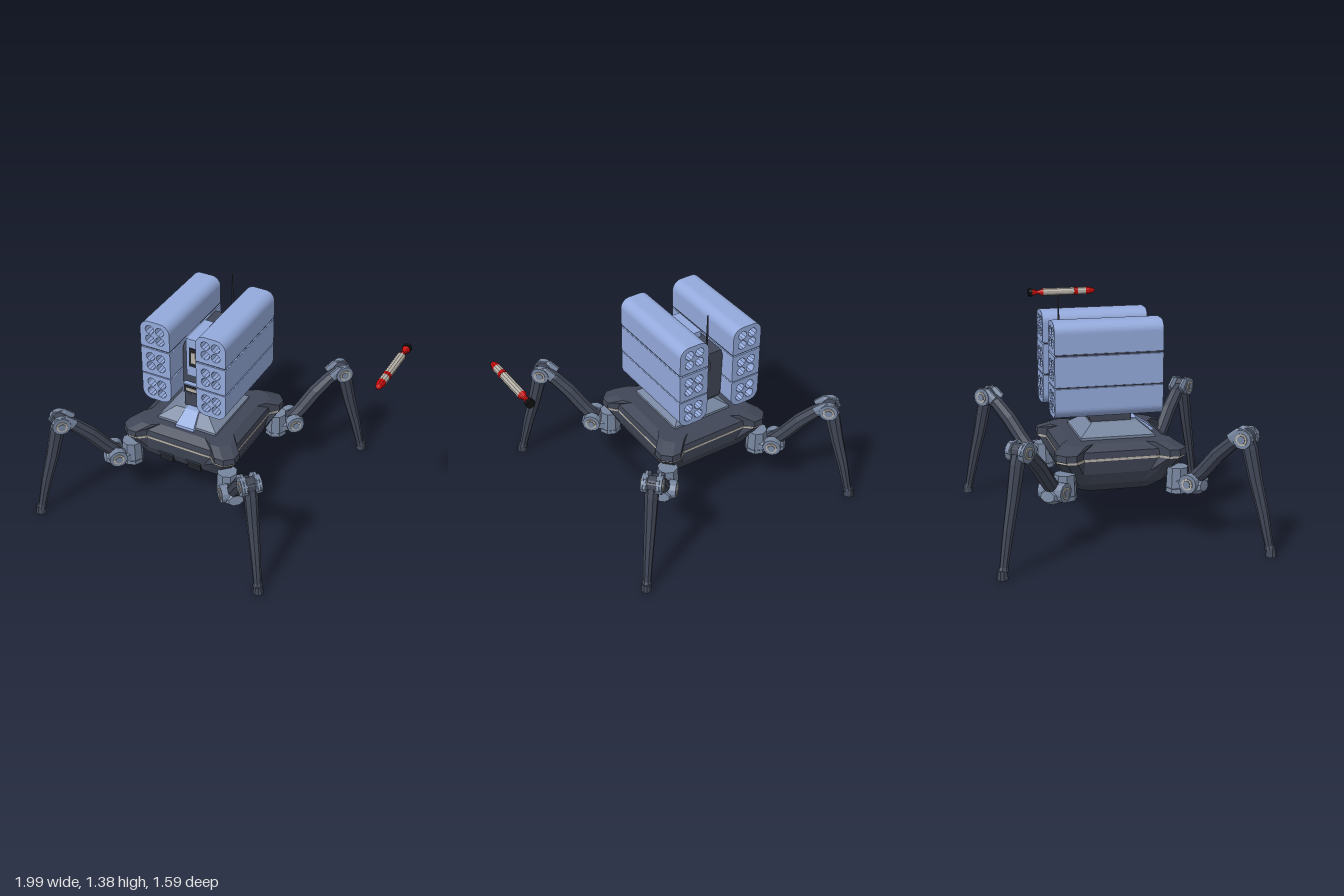
import * as THREE from 'three';

const mat = (color) => new THREE.MeshStandardMaterial({ color, flatShading: true });
const BLUE = mat(0x94aadc), STEEL = mat(0x77869f), DARK = mat(0x404656), SHADOW = mat(0x20232c);
const CREAM = mat(0xb8b3aa), RED = mat(0xc80d0d), BLACK = mat(0x111111);

function add(parent, name, geometry, material, x = 0, y = 0, z = 0) {
  const mesh = new THREE.Mesh(geometry, material);
  mesh.name = name;
  mesh.position.set(x, y, z);
  parent.add(mesh);
  return mesh;
}
const box = (w, h, d) => new THREE.BoxGeometry(w, h, d);

// Skin a list of equal rings (counter-clockwise seen from the far end) and cap both ends
function loft(rings) {
  const n = rings[0].length, pos = [], idx = [];
  rings.flat().forEach((p) => pos.push(p.x, p.y, p.z));
  for (let i = 0; i < rings.length - 1; i++) {
    for (let j = 0; j < n; j++) {
      const a = i * n + j, b = i * n + (j + 1) % n;
      idx.push(a, b, b + n, a, b + n, a + n);
    }
  }
  [0, rings.length - 1].forEach((i) => {
    const c = new THREE.Vector3();
    rings[i].forEach((p) => c.addScaledVector(p, 1 / n));
    const k = pos.length / 3;
    pos.push(c.x, c.y, c.z);
    for (let j = 0; j < n; j++) {
      const a = i * n + j, b = i * n + (j + 1) % n;
      idx.push(k, ...(i ? [a, b] : [b, a]));
    }
  });
  const g = new THREE.BufferGeometry();
  g.setAttribute('position', new THREE.Float32BufferAttribute(pos, 3));
  g.setIndex(idx);
  g.computeVertexNormals();
  return g;
}

// Square hull outline of half width a, with corner pads reaching out to b
function hullRing([y, a, b]) {
  const q = b - 0.16, m = b - 0.11, e = b - 0.05;
  const quarter = [[a, q], [b, m], [b, e], [e, b], [m, b], [q, a]];
  const ring = [];
  for (let k = 0; k < 4; k++) {
    quarter.forEach(([u, v]) => {
      const [x, w] = [[u, v], [-v, u], [-u, -v], [v, -u]][k];
      ring.push(new THREE.Vector3(x, y, -w));
    });
  }
  return ring;
}

// Rectangular ring: y, half width, back z, front z
const rectRing = ([y, w, back, front]) =>
  [[w, front], [w, back], [-w, back], [-w, front]].map(([x, z]) => new THREE.Vector3(x, y, z));

// Eight-sided limb along points [radius, y, half thickness, half width]
function limb(points) {
  return loft(points.map(([x, y, h, w], i) => {
    const p = points[Math.max(i - 1, 0)], q = points[Math.min(i + 1, points.length - 1)];
    const d = new THREE.Vector2(q[0] - p[0], q[1] - p[1]).normalize();
    return Array.from({ length: 8 }, (_, j) => {
      const t = (j + 0.5) * Math.PI / 4, c = Math.cos(t) * h * 1.08, s = Math.sin(t) * w * 1.08;
      return new THREE.Vector3(x - d.y * c, y + d.x * c, s);
    });
  }));
}

// Pivot with cheeks, ring and hub cap, its axis along z
function joint(parent, name, x, y, r, half) {
  const g = new THREE.Group();
  g.name = name;
  g.position.set(x, y, 0);
  const drum = (n, rad, len, material, z = 0) =>
    add(g, n, new THREE.CylinderGeometry(rad, rad, len, 12), material, 0, 0, z).rotateX(Math.PI / 2);
  drum('pivot', r * 0.85, half * 2 - 0.01, DARK);
  [-1, 1].forEach((s) => {
    drum('cheek', r, half * 0.6, STEEL, s * half * 0.7);
    drum('hubRing', r * 0.62, 0.008, CREAM, s * (half + 0.002));
    drum('hubCap', r * 0.42, 0.014, STEEL, s * (half + 0.003));
  });
  parent.add(g);
}

// Leg pointing along +x
function makeLeg() {
  const leg = new THREE.Group();
  leg.name = 'leg';
  add(leg, 'hipSwivel', new THREE.CylinderGeometry(0.062, 0.07, 0.15, 8), STEEL, 0.47, 0.355, 0);
  add(leg, 'hipFoot', new THREE.CylinderGeometry(0.07, 0.05, 0.03, 8), STEEL, 0.47, 0.293, 0);
  add(leg, 'hipLink', limb([[0.46, 0.335, 0.045, 0.055], [0.56, 0.335, 0.05, 0.065],
    [0.62, 0.335, 0.045, 0.055], [0.645, 0.34, 0.03, 0.045]]), STEEL);
  joint(leg, 'hipJoint', 0.575, 0.355, 0.056, 0.078);
  add(leg, 'upperLeg', limb([[0.56, 0.35, 0.04, 0.038], [0.64, 0.43, 0.042, 0.04],
    [0.73, 0.54, 0.042, 0.042], [0.82, 0.625, 0.038, 0.04], [0.9, 0.665, 0.035, 0.036]]), DARK);
  joint(leg, 'kneeJoint', 0.9, 0.665, 0.056, 0.06);
  [-1, 1].forEach((s) => {
    add(leg, 'kneeGuard', limb([[0.82, 0.65, 0.032, 0.016], [0.87, 0.69, 0.034, 0.018],
      [0.92, 0.69, 0.03, 0.018], [0.95, 0.655, 0.02, 0.015]]), STEEL, 0, 0, s * 0.038);
  });
  add(leg, 'lowerLeg', limb([[0.9, 0.69, 0.035, 0.034], [0.925, 0.6, 0.042, 0.038],
    [0.965, 0.43, 0.037, 0.033], [1.015, 0.25, 0.031, 0.028], [1.06, 0.06, 0.023, 0.023],
    [1.066, 0.04, 0.028, 0.03]]), DARK);
  add(leg, 'foot', new THREE.CylinderGeometry(0.026, 0.033, 0.05, 10), DARK, 1.075, 0.025, 0);
  return leg;
}

// Rocket with its nose along +z
function makeRocket() {
  const rocket = new THREE.Group();
  rocket.name = 'rocket';
  const part = (name, material, profile) => add(rocket, name,
    new THREE.LatheGeometry(profile.map(([r, y]) => new THREE.Vector2(r, y)), 10), material).rotateX(Math.PI / 2);
  part('tailCap', BLACK, [[0, -0.228], [0.027, -0.228], [0.027, -0.203], [0, -0.203]]);
  part('nozzle', RED, [[0.024, -0.203], [0.023, -0.198], [0.012, -0.168], [0.014, -0.158], [0.026, -0.128], [0, -0.128]]);
  part('casing', CREAM, [[0.025, -0.13], [0.025, 0.165]]);
  part('band', RED, [[0.025, 0.08], [0.0265, 0.081], [0.0265, 0.106], [0.025, 0.107]]);
  part('nose', RED, [[0.026, 0.16], [0.024, 0.185], [0.017, 0.21], [0.009, 0.222], [0, 0.228]]);
  return rocket;
}

// Pod segment with four through tubes; top and bottom say which corners are rounded
function podSegment(h, top, bottom) {
  const w = 0.0975, k = h / 2, r = 0.06, s = new THREE.Shape();
  const rb = bottom ? r : 0.004, rt = top ? r : 0.004;
  s.absarc(w - rb, -k + rb, rb, -Math.PI / 2, 0);
  s.absarc(w - rt, k - rt, rt, 0, Math.PI / 2);
  s.absarc(-w + rt, k - rt, rt, Math.PI / 2, Math.PI);
  s.absarc(-w + rb, -k + rb, rb, Math.PI, Math.PI * 1.5);
  [-1, 1].forEach((i) => [-1, 1].forEach((j) => {
    s.holes.push(new THREE.Path().absarc(i * 0.034, j * 0.0325, 0.029, 0, Math.PI * 2, true));
  }));
  return new THREE.ExtrudeGeometry(s, { depth: 0.63, bevelEnabled: false, curveSegments: 5 });
}

function makePod() {
  const pod = new THREE.Group();
  pod.name = 'rocketPod';
  [0.818, 1.0025, 1.19].forEach((y, i) => {
    add(pod, 'podSegment', podSegment(0.178, i === 2, i === 0), BLUE, 0, y, -0.375);
    [-1, 1].forEach((a) => [-1, 1].forEach((b) => {
      const rocket = makeRocket();
      rocket.position.set(a * 0.034, y + b * 0.0325, -0.06);
      pod.add(rocket);
    }));
  });
  [0.91, 1.096].forEach((y) => add(pod, 'podSpacer', box(0.18, 0.02, 0.61), DARK, 0, y, -0.06));
  return pod;
}

export function createModel() {
  const model = new THREE.Group();
  const walker = new THREE.Group();
  walker.name = 'walker';
  walker.position.x = -0.205;
  model.add(walker);

  // Hull
  const hull = (name, rows, material) => add(walker, name, loft(rows.map(hullRing)), material);
  hull('lowerHull', [[0.28, 0.225, 0.225], [0.34, 0.295, 0.295], [0.41, 0.325, 0.33], [0.49, 0.335, 0.375]], DARK);
  hull('hullStripe', [[0.488, 0.337, 0.378], [0.502, 0.337, 0.378]], CREAM);
  hull('upperHull', [[0.502, 0.335, 0.384], [0.54, 0.33, 0.38], [0.575, 0.28, 0.315]], DARK);
  [-1, 1].forEach((s) => {
    add(walker, 'vent', box(0.09, 0.055, 0.04), SHADOW, s * 0.095, 0.37, 0.3);
    add(walker, 'ventLip', box(0.1, 0.012, 0.05), DARK, s * 0.095, 0.402, 0.305);
  });

  // Legs
  for (let k = 0; k < 4; k++) {
    const leg = makeLeg();
    leg.rotation.y = Math.PI / 4 + k * Math.PI / 2;
    walker.add(leg);
  }

  // Turret base and neck
  const slab = (name, rows, material) => add(walker, name, loft(rows.map(rectRing)), material);
  slab('turretBase', [[0.57, 0.2, -0.21, 0.23], [0.59, 0.2, -0.21, 0.23], [0.65, 0.11, -0.13, 0.155]], STEEL);
  slab('frontRamp', [[0.57, 0.065, 0.1, 0.26], [0.59, 0.062, 0.1, 0.255], [0.655, 0.045, 0.1, 0.16]], BLUE);
  slab('neck', [[0.64, 0.07, -0.12, 0.12], [0.67, 0.07, -0.13, 0.12], [0.74, 0.07, -0.2, 0.12]], DARK);

  // Mast, sight and sensor
  slab('mast', [[0.73, 0.07, -0.24, 0.1], [0.77, 0.082, -0.27, 0.11], [1.06, 0.082, -0.28, 0.11],
    [1.1, 0.07, -0.28, 0.1]], DARK);
  add(walker, 'sightHousing', box(0.1, 0.26, 0.23), BLUE, 0, 1.01, 0.01);
  add(walker, 'sightWindow', box(0.06, 0.13, 0.01), SHADOW, 0, 1.015, 0.124);
  add(walker, 'sightLens', box(0.028, 0.075, 0.01), CREAM, 0, 1.015, 0.127);
  add(walker, 'sensorHousing', box(0.14, 0.065, 0.06), BLUE, 0, 0.79, 0.11);
  add(walker, 'sensorFace', box(0.125, 0.05, 0.01), SHADOW, 0, 0.79, 0.138);
  add(walker, 'sensorLens', box(0.09, 0.022, 0.01), CREAM, 0, 0.79, 0.141);
  add(walker, 'antennaMount', box(0.04, 0.06, 0.04), DARK, 0.04, 1.03, -0.285);
  add(walker, 'antenna', new THREE.CylinderGeometry(0.003, 0.011, 0.37, 8), DARK, 0.04, 1.2, -0.29);

  // Rocket pods
  [-1, 1].forEach((s) => {
    const pod = makePod();
    pod.position.x = s * 0.184;
    walker.add(pod);
    add(walker, 'podMount', box(0.05, 0.16, 0.2), DARK, s * 0.08, 1.0, -0.08);
  });

  // Launched rocket
  const launched = makeRocket();
  launched.name = 'launchedRocket';
  launched.position.set(0.97, 1.22, -0.047);
  model.add(launched);
  return model;
}
